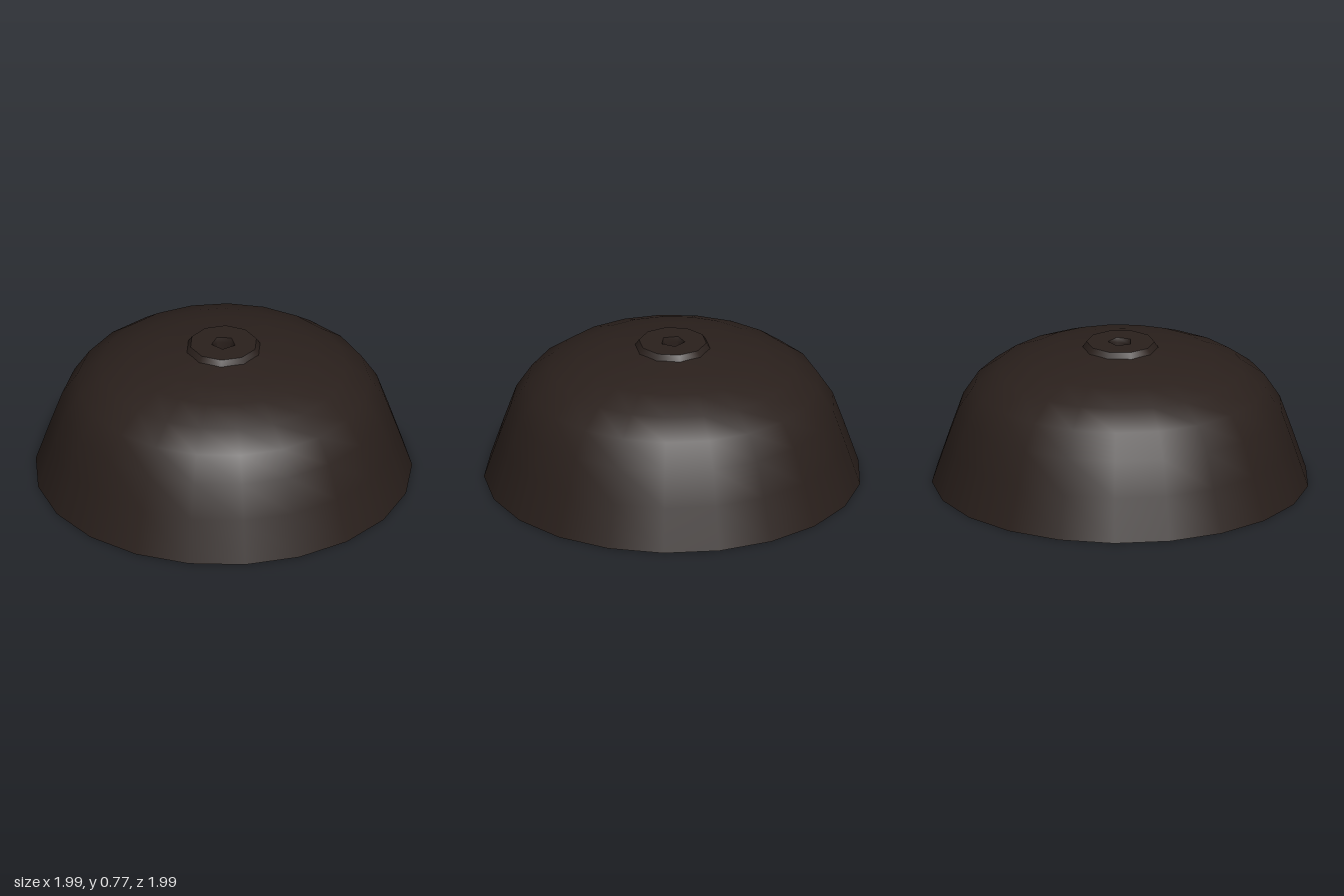
import * as THREE from 'three';

const DOME_SIDES = 21, COLLAR_SIDES = 10, HOLE_SIDES = 5;

export function createModel() {
  const group = new THREE.Group();
  const material = new THREE.MeshStandardMaterial({ color: 0x2a201c });

  const add = (name, geometry) => {
    const mesh = new THREE.Mesh(geometry, material);
    mesh.name = name;
    group.add(mesh);
  };

  // Turned surface with a corner pointing to the back
  const turn = (name, sides, profile) => add(name, new THREE.LatheGeometry(
    profile.map(([r, y]) => new THREE.Vector2(r, y)), sides, Math.PI));

  // Regular polygon, first corner along dir * y
  const polygon = (sides, r, dir) => Array.from({ length: sides }, (_, i) => {
    const a = dir * Math.PI / 2 + i * 2 * Math.PI / sides;
    return new THREE.Vector2(r * Math.cos(a), r * Math.sin(a));
  });

  // Flat ring with a polygonal hole, facing up (1) or down (-1)
  const ring = (name, sides, r, holeSides, holeR, y, dir) => {
    const shape = new THREE.Shape(polygon(sides, r, dir));
    shape.holes.push(new THREE.Path(polygon(holeSides, holeR, dir)));
    add(name, new THREE.ShapeGeometry(shape).rotateX(-dir * Math.PI / 2).translate(0, y, 0));
  };

  // Outer and inner skin of the bowl
  turn('outerDome', DOME_SIDES, [
    [1, 0], [0.925, 0.225], [0.86, 0.41], [0.775, 0.54], [0.65, 0.63],
    [0.5, 0.69], [0.35, 0.724], [0.17, 0.748],
  ]);
  turn('innerDome', DOME_SIDES, [
    [0.2, 0.685], [0.34, 0.665], [0.48, 0.63], [0.61, 0.575],
    [0.72, 0.49], [0.8, 0.375], [0.86, 0.21], [0.93, 0],
  ]);
  ring('rim', DOME_SIDES, 1, DOME_SIDES, 0.93, 0, -1);
  ring('ceiling', DOME_SIDES, 0.2, HOLE_SIDES, 0.057, 0.685, -1);

  // Raised collar with the through hole
  turn('collarSide', COLLAR_SIDES, [[0.203, 0.735], [0.2, 0.745], [0.18, 0.775]]);
  ring('collarTop', COLLAR_SIDES, 0.18, HOLE_SIDES, 0.066, 0.775, 1);
  turn('holeWall', HOLE_SIDES, [[0.066, 0.775], [0.057, 0.75], [0.057, 0.685]]);

  return group;
}
